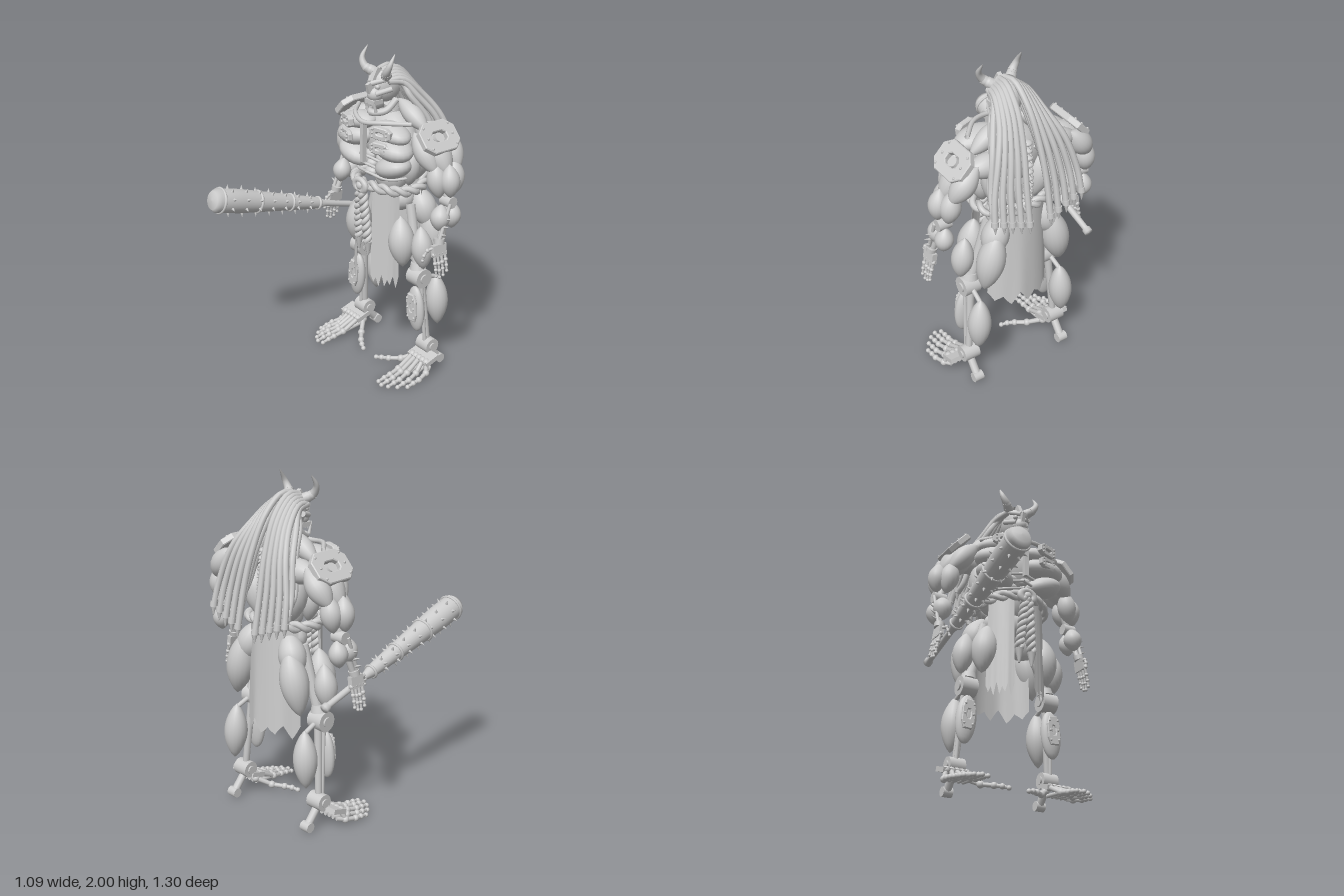
import * as THREE from 'three';

const V = (x, y, z) => new THREE.Vector3(x, y, z);
const UP = V(0, 1, 0);

export function createModel() {
  const root = new THREE.Group();
  root.name = 'hornedWarrior';
  const grey = new THREE.MeshStandardMaterial({ color: 0xcccccc, side: THREE.DoubleSide });
  grey.name = 'plain grey';

  // ---- helpers ----
  const add = (name, geo, pos) => {
    const m = new THREE.Mesh(geo, grey);
    m.name = name;
    if (pos) m.position.copy(pos);
    root.add(m);
    return m;
  };
  const aim = (m, a, b) => {
    m.position.copy(a).lerp(b, 0.5);
    m.quaternion.setFromUnitVectors(UP, b.clone().sub(a).normalize());
    return m;
  };
  const ball = (name, p, rx, ry = rx, rz = rx, tilt = 0) => {
    const m = add(name, new THREE.SphereGeometry(1, 20, 14), p);
    m.scale.set(rx, ry, rz);
    m.rotation.z = tilt;
    return m;
  };
  const rod = (name, a, b, r0, r1 = r0, n = 10) =>
    aim(add(name, new THREE.CylinderGeometry(r1, r0, a.distanceTo(b), n)), a, b);
  const box = (name, p, w, h, d, rx = 0, ry = 0, rz = 0) => {
    const m = add(name, new THREE.BoxGeometry(w, h, d), p);
    m.rotation.set(rx, ry, rz);
    return m;
  };
  // spindle-shaped muscle with small tendon caps
  const muscle = (name, a, b, r) => {
    const L = a.distanceTo(b), pts = [];
    for (let i = 0; i <= 14; i++) {
      const t = i / 14;
      pts.push(new THREE.Vector2(i % 14 ? Math.max(0.016, r * Math.sin(Math.PI * t) ** 0.75) : 0.0001, (t - 0.5) * L));
    }
    return aim(add(name, new THREE.LatheGeometry(pts, 18)), a, b);
  };
  // jointed finger or toe
  const digit = (name, pts, r) => pts.forEach((p, i) => {
    const q = r * (1 - 0.1 * i);
    ball(name + 'Joint', p, q * 1.2);
    if (i) rod(name + 'Bone', pts[i - 1], p, q * 0.9, q * 0.75, 8);
  });
  const tube = (name, pts, r, n = 20, closed = false) =>
    add(name, new THREE.TubeGeometry(new THREE.CatmullRomCurve3(pts, closed), n, r, 8, closed));
  // two strands twisted around a path
  const rope = (name, pts, r, turns, closed = false) => {
    const c = new THREE.CatmullRomCurve3(pts, closed), n = turns * 8, f = c.computeFrenetFrames(n, closed);
    for (const k of [0, Math.PI]) {
      const strand = [];
      for (let i = 0; i < n + (closed ? 0 : 1); i++) {
        const a = k + (i / n) * turns * Math.PI * 2;
        strand.push(c.getPointAt(i / n).addScaledVector(f.normals[i], r * 0.55 * Math.cos(a))
          .addScaledVector(f.binormals[i], r * 0.55 * Math.sin(a)));
      }
      tube(name, strand, r * 0.62, n * 2, closed);
    }
  };
  // bolted plate with a hole, facing +z before it is turned
  const plate = (name, p, w, h, d, ry, rz) => {
    const outline = (W, H) => [[-1, -.5], [-.6, -1], [.6, -1], [1, -.5], [1, .5], [.6, 1], [-.6, 1], [-1, .5]]
      .map(([x, y]) => new THREE.Vector2(x * W / 2, y * H / 2));
    const s = new THREE.Shape(outline(w, h));
    s.holes.push(new THREE.Path(outline(w * 0.45, h * 0.4)));
    const m = add(name, new THREE.ExtrudeGeometry(s, { depth: d, bevelSize: 0.005, bevelThickness: 0.005, bevelSegments: 1 }), p);
    m.rotation.set(0, ry, rz, 'ZYX');
    for (const i of [-1, 1]) for (const j of [-1, 0, 1]) {
      const bolt = new THREE.Mesh(new THREE.SphereGeometry(0.008, 8, 6), grey);
      bolt.name = 'plateBolt';
      bolt.position.set(i * w * 0.36, j * h * 0.36, d + 0.006);
      m.add(bolt);
    }
  };
  // curved cloth panel with a ragged hem; angles measured from the front
  const cloth = (name, a0, a1, hem, flare) => {
    const g = new THREE.PlaneGeometry(1, 1, 40, 6), p = g.attributes.position;
    for (let i = 0; i < p.count; i++) {
      const u = p.getX(i) + 0.5, v = 0.5 - p.getY(i), a = a0 + (a1 - a0) * u;
      const rag = 0.06 * Math.abs(((u * 5) % 1) * 2 - 1) + 0.015 * Math.sin(u * 19);
      const k = 1 + flare * v + 0.012 * v * Math.sin(a * 9);
      p.setXYZ(i, 0.205 * k * Math.sin(a), 1.19 - v * (1.19 - hem - rag), -0.32 + 0.195 * k * Math.cos(a));
    }
    g.computeVertexNormals();
    add(name, g);
  };

  // ---- head ----
  ball('skull', V(0, 1.79, -0.28), 0.072, 0.105, 0.1);
  ball('snout', V(0, 1.745, -0.2), 0.046, 0.045, 0.05);
  box('noseBridge', V(0, 1.79, -0.165), 0.022, 0.06, 0.05, 0.3);
  box('foreheadCrest', V(0, 1.86, -0.2), 0.025, 0.08, 0.03, -0.5);
  box('upperJaw', V(0, 1.705, -0.19), 0.08, 0.025, 0.07);
  tube('lowerJaw', [V(-0.07, 1.71, -0.3), V(-0.056, 1.65, -0.23), V(0, 1.64, -0.17), V(0.056, 1.65, -0.23), V(0.07, 1.71, -0.3)], 0.02);
  for (let i = -3; i <= 3; i++) rod('tooth', V(i * 0.012, 1.7, -0.16), V(i * 0.012, 1.672, -0.16), 0.006, 0.002, 6);
  for (let i = 0; i < 4; i++) rod('neck', V(0, 1.52 + i * 0.04, -0.33), V(0, 1.555 + i * 0.04, -0.32), 0.05, 0.045, 14);

  // ---- trunk ----
  ball('ribcage', V(0, 1.45, -0.32), 0.2, 0.18, 0.13);
  ball('abdomen', V(0, 1.25, -0.33), 0.12, 0.15, 0.1);
  ball('pelvis', V(0, 1.09, -0.35), 0.16, 0.1, 0.11);
  box('breastbone', V(0, 1.47, -0.115), 0.026, 0.24, 0.03);
  tube('collarBar', [V(-0.24, 1.61, -0.27), V(-0.12, 1.61, -0.15), V(0, 1.595, -0.11), V(0.12, 1.61, -0.15), V(0.24, 1.61, -0.27)], 0.014);
  for (let i = 0; i < 13; i++) {
    const y = 1.1 + i * 0.042, z = -0.48 - 0.025 * Math.sin(i / 12 * Math.PI);
    ball('vertebra', V(0, y, z), 0.03, 0.017, 0.03);
    rod('vertebraSpur', V(0, y, z), V(0, y - 0.015, z - 0.04), 0.011, 0.005, 6);
  }

  // ---- waist rope, knot and skirt ----
  const belt = [];
  for (let i = 0; i < 16; i++) {
    const a = i / 16 * Math.PI * 2;
    belt.push(V(0.215 * Math.sin(a), 1.2 + 0.015 * Math.cos(a * 2), -0.32 + 0.2 * Math.cos(a)));
  }
  rope('beltRope', belt, 0.03, 9, true);
  const knot = add('beltKnot', new THREE.TorusGeometry(0.035, 0.018, 10, 20), V(0, 1.205, -0.095));
  knot.scale.x = 1.3;
  ball('knotCore', V(0, 1.205, -0.1), 0.03);
  for (const [x, y] of [[-0.04, 0.8], [0.045, 0.79]]) {
    rope('hangingRope', [V(x * 0.3, 1.19, -0.1), V(x * 0.7, 1.0, -0.11), V(x, y + 0.06, -0.12)], 0.027, 4);
    rod('ropeTassel', V(x, y + 0.06, -0.12), V(x, y - 0.03, -0.12), 0.028, 0.006);
  }
  cloth('frontSkirtLeft', 0.32, 1.15, 0.57, 0.06);
  cloth('frontSkirtRight', -1.15, -0.32, 0.57, 0.06);
  cloth('backSkirt', Math.PI - 1.1, Math.PI + 1.1, 0.545, 0.12);

  // ---- everything paired ----
  for (const s of [-1, 1]) {
    const P = (x, y, z) => V(s * x, y, z);

    // face and horns
    ball('eye', P(0.033, 1.795, -0.19), 0.015);
    rod('brow', P(0.008, 1.815, -0.165), P(0.07, 1.84, -0.23), 0.016, 0.012);
    rod('cheekbone', P(0.033, 1.755, -0.175), P(0.075, 1.78, -0.26), 0.016);
    rod('tusk', P(0.038, 1.65, -0.175), P(0.042, 1.72, -0.155), 0.011, 0.002, 8);
    const horn = new THREE.CatmullRomCurve3([P(0.06, 1.86, -0.23), P(0.095, 1.885, -0.2), P(0.122, 1.93, -0.2), P(0.122, 2.0, -0.24)]);
    const hg = new THREE.TubeGeometry(horn, 18, 1, 12), hp = hg.attributes.position;
    for (let i = 0; i < hp.count; i++) {
      const t = Math.floor(i / 13) / 18, c = horn.getPointAt(t);
      const q = V(0, 0, 0).fromBufferAttribute(hp, i).sub(c).multiplyScalar(0.031 * (1 - t) ** 0.8 + 0.001).add(c);
      hp.setXYZ(i, q.x, q.y, q.z);
    }
    add('horn', hg);
    for (const t of [0.12, 0.26]) aim(add('hornRing', new THREE.CylinderGeometry(0.031 - t * 0.02, 0.033 - t * 0.02, 0.012, 14)),
      horn.getPointAt(t - 0.02), horn.getPointAt(t + 0.02));

    // dreadlocks in three staggered layers
    for (let i = 0; i < 14; i++) {
      const u = i / 13, layer = i % 3, e = layer * 0.045, j = ((i * 7) % 5) / 5 - 0.4;
      const w = 0.085 + u * 0.2 + j * 0.04, y = 1.19 + 0.06 * layer + 0.04 * j + 0.05 * u;
      const end = P(w, y, -0.62 + e * 0.9 + j * 0.02);
      tube('dreadlock', [P(0.015 + 0.065 * u, 1.88 - 0.05 * u, -0.23), P(0.025 + 0.08 * u, 1.89 - 0.06 * u - layer * 0.015, -0.32),
        P(0.035 + 0.12 * u, 1.79 - 0.06 * u, -0.435 + e), P(0.055 + 0.165 * u + j * 0.01, 1.6, -0.525 + e), P(w * 0.94, 1.4, -0.58 + e), end], 0.018, 24);
      rod('dreadBand', end.clone().add(V(0, 0.03, 0.005)), end, 0.0215);
      rod('dreadTip', end, end.clone().add(V(0, -0.05, -0.005)), 0.015, 0.002, 8);
    }

    // chest, back and flank muscles
    ball('upperPec', P(0.15, 1.55, -0.21), 0.13, 0.055, 0.085, -s * 0.15);
    ball('middlePec', P(0.17, 1.46, -0.2), 0.135, 0.068, 0.1, -s * 0.1);
    ball('lowerPec', P(0.17, 1.345, -0.2), 0.125, 0.065, 0.095, s * 0.3);
    plate('chestPlate', P(0.15, 1.565, -0.13), 0.13, 0.065, 0.025, s * 0.3, -s * 0.05);
    plate('lowerChestPlate', P(0.15, 1.475, -0.12), 0.12, 0.06, 0.018, s * 0.3, 0);
    muscle('neckMuscle', P(0.04, 1.7, -0.34), P(0.28, 1.56, -0.36), 0.055);
    muscle('shoulderBlade', P(0.08, 1.52, -0.43), P(0.36, 1.52, -0.44), 0.07);
    muscle('backMuscle', P(0.2, 1.52, -0.4), P(0.09, 1.18, -0.42), 0.08);
    muscle('flankMuscle', P(0.21, 1.44, -0.32), P(0.17, 1.2, -0.32), 0.055);
    for (let i = 0; i < 3; i++) {
      ball('bellyMuscle', P(0.05, 1.25 + i * 0.055, -0.22), 0.045, 0.03, 0.035);
      tube('rib', [P(0, 1.38 - i * 0.05, -0.14), P(0.14, 1.36 - i * 0.05, -0.19), P(0.2, 1.37 - i * 0.05, -0.32), P(0.1, 1.4 - i * 0.05, -0.45)], 0.009);
    }

    // arm
    muscle('deltoid', P(0.25, 1.57, -0.36), P(0.47, 1.35, -0.36), 0.082);
    muscle('frontDeltoid', P(0.26, 1.57, -0.27), P(0.43, 1.36, -0.3), 0.062);
    muscle('rearDeltoid', P(0.3, 1.56, -0.47), P(0.46, 1.36, -0.44), 0.066);
    plate('shoulderPlate', P(0.365, 1.545, -0.355), 0.25, 0.18, 0.03, s * Math.PI / 2, s * 0.75);
    rod('shoulderStud', P(0.34, 1.51, -0.355), P(0.388, 1.56, -0.355), 0.04, 0.03, 16);
    rod('upperArmBone', P(0.36, 1.5, -0.37), P(0.46, 1.18, -0.37), 0.022);
    muscle('biceps', P(0.4, 1.43, -0.31), P(0.44, 1.21, -0.32), 0.06);
    muscle('triceps', P(0.43, 1.43, -0.43), P(0.46, 1.22, -0.42), 0.06);
    muscle('outerArmMuscle', P(0.47, 1.42, -0.36), P(0.49, 1.22, -0.36), 0.058);
    rod('elbow', P(0.42, 1.19, -0.37), P(0.5, 1.19, -0.37), 0.035, 0.035, 16);
    muscle('frontForearm', P(0.455, 1.18, -0.325), P(0.465, 1.02, -0.3), 0.058);
    muscle('backForearm', P(0.465, 1.18, -0.4), P(0.475, 1.02, -0.39), 0.054);
    rod('forearmBone', P(0.46, 1.19, -0.37), P(0.485, 0.96, -0.29), 0.017);
    rod('forearmStrut', P(0.5, 1.19, -0.35), P(0.5, 0.96, -0.27), 0.011);
    for (let i = 0; i < 3; i++) rod('forearmSpike', P(0.5, 1.1 - i * 0.045, -0.32 + i * 0.015), P(0.54, 1.115 - i * 0.045, -0.32 + i * 0.015), 0.01, 0.002, 8);
    rod('wrist', P(0.485, 0.985, -0.29), P(0.49, 0.955, -0.285), 0.032, 0.03, 14);
    box('palm', P(0.495, 0.92, -0.28), 0.03, 0.07, 0.095, 0, 0, s * 0.15);
    for (let i = 0; i < 4; i++) {
      const z = -0.24 - i * 0.027, k = [0.94, 1.05, 1, 0.85][i];
      digit('finger', [P(0.5, 0.9, z), P(0.512, 0.9 - 0.055 * k, z), P(0.52, 0.9 - 0.095 * k, z), P(0.525, 0.9 - 0.135 * k, z)], 0.012);
    }
    digit('thumb', [P(0.49, 0.94, -0.245), P(0.48, 0.93, -0.205), P(0.475, 0.9, -0.185), P(0.47, 0.87, -0.18)], 0.012);

    // leg
    rod('thighBone', P(0.16, 1.07, -0.35), P(0.27, 0.64, -0.33), 0.03);
    muscle('innerThigh', P(0.185, 1.03, -0.25), P(0.225, 0.71, -0.245), 0.08);
    muscle('outerThigh', P(0.29, 0.98, -0.32), P(0.325, 0.71, -0.32), 0.066);
    muscle('hamstring', P(0.18, 1.09, -0.485), P(0.26, 0.7, -0.475), 0.082);
    muscle('rump', P(0.12, 1.16, -0.43), P(0.22, 0.9, -0.46), 0.08);
    rod('kneeDisc', P(0.225, 0.64, -0.33), P(0.325, 0.64, -0.33), 0.06, 0.06, 24);
    rod('kneeHub', P(0.215, 0.64, -0.33), P(0.335, 0.64, -0.33), 0.03, 0.03, 16);
    rod('kneeCollar', P(0.265, 0.69, -0.33), P(0.26, 0.73, -0.33), 0.05, 0.04, 16);
    rod('shinBone', P(0.275, 0.62, -0.35), P(0.31, 0.17, -0.385), 0.024, 0.02);
    rod('shinStrut', P(0.3, 0.6, -0.33), P(0.315, 0.2, -0.36), 0.012);
    muscle('calf', P(0.28, 0.62, -0.465), P(0.3, 0.27, -0.475), 0.07);
    rod('calfTendon', P(0.28, 0.6, -0.46), P(0.275, 0.64, -0.36), 0.014);
    ball('shinGuard', P(0.287, 0.43, -0.305), 0.066, 0.15, 0.038, s * 0.08);
    plate('shinPlate', P(0.287, 0.45, -0.275), 0.075, 0.17, 0.01, 0, s * 0.08);

    // foot
    rod('ankle', P(0.26, 0.165, -0.385), P(0.36, 0.165, -0.385), 0.05, 0.05, 20);
    rod('ankleHub', P(0.25, 0.165, -0.385), P(0.37, 0.165, -0.385), 0.025, 0.025, 14);
    box('instep', P(0.34, 0.115, -0.33), 0.18, 0.03, 0.1, 0.3);
    rod('heelBone', P(0.31, 0.14, -0.39), P(0.31, 0.04, -0.475), 0.024);
    rod('heelPad', P(0.28, 0.035, -0.48), P(0.34, 0.035, -0.48), 0.03, 0.03, 14);
    [[0.285, -0.02], [0.325, -0.01], [0.365, -0.03], [0.405, -0.07], [0.44, -0.12]].forEach(([x, z], i) => {
      const mid = P(0.28 + i * 0.036, 0.045, z - 0.16);
      digit('toe', [P(0.275 + i * 0.032, 0.105, -0.3), mid, P(x, 0.032, z - 0.09), P(x, 0.026, z - 0.045), P(x, 0.017, z)], 0.02);
      rod('soleBone', P(0.28 + i * 0.03, 0.06, -0.33), mid, 0.013, 0.013, 8);
    });
    digit('bigToe', [P(0.27, 0.09, -0.34), P(0.2, 0.045, -0.27), P(0.14, 0.035, -0.22), P(0.1, 0.03, -0.195), P(0.065, 0.022, -0.18)], 0.021);
  }

  // ---- spiked club, built along its own axis ----
  const from = V(-0.46, 0.81, -0.5), to = V(-0.46, 1.145, 0.645), len = from.distanceTo(to);
  const club = new THREE.Group();
  club.name = 'spikedClub';
  aim(club, from, to);
  root.add(club);
  const part = (name, geo, y) => {
    const m = new THREE.Mesh(geo, grey);
    m.name = name;
    m.position.y = y - len / 2;
    club.add(m);
    return m;
  };
  const radius = (y) => 0.036 + 0.037 * Math.min(1, (y - 0.4) / 0.6);
  part('clubBody', new THREE.LatheGeometry([[0, 0], [0.026, 0.005], [0.026, 0.03], [0.018, 0.04], [0.02, 0.34], [0.036, 0.4], [0.073, 1.0],
    [0.073, len - 0.03], [0.055, len - 0.005], [0, len]].map(([x, y]) => new THREE.Vector2(x, y)), 28), 0);
  for (const y of [0.4, 0.62, 0.87, 1.14]) {
    part('clubRing', new THREE.TorusGeometry(radius(y) + 0.001, 0.008, 8, 28), y).rotation.x = Math.PI / 2;
  }
  for (let row = 0; row < 7; row++) for (let k = 0; k < 8; k++) {
    const y = 0.48 + row * 0.1, a = (k + 0.5) * Math.PI / 4, r = radius(y);
    const dir = V(Math.cos(a), 0, Math.sin(a));
    const spike = part('clubSpike', new THREE.ConeGeometry(0.011, 0.03, 8), y);
    spike.position.addScaledVector(dir, r + 0.01);
    spike.quaternion.setFromUnitVectors(UP, dir);
  }
  return root;
}
